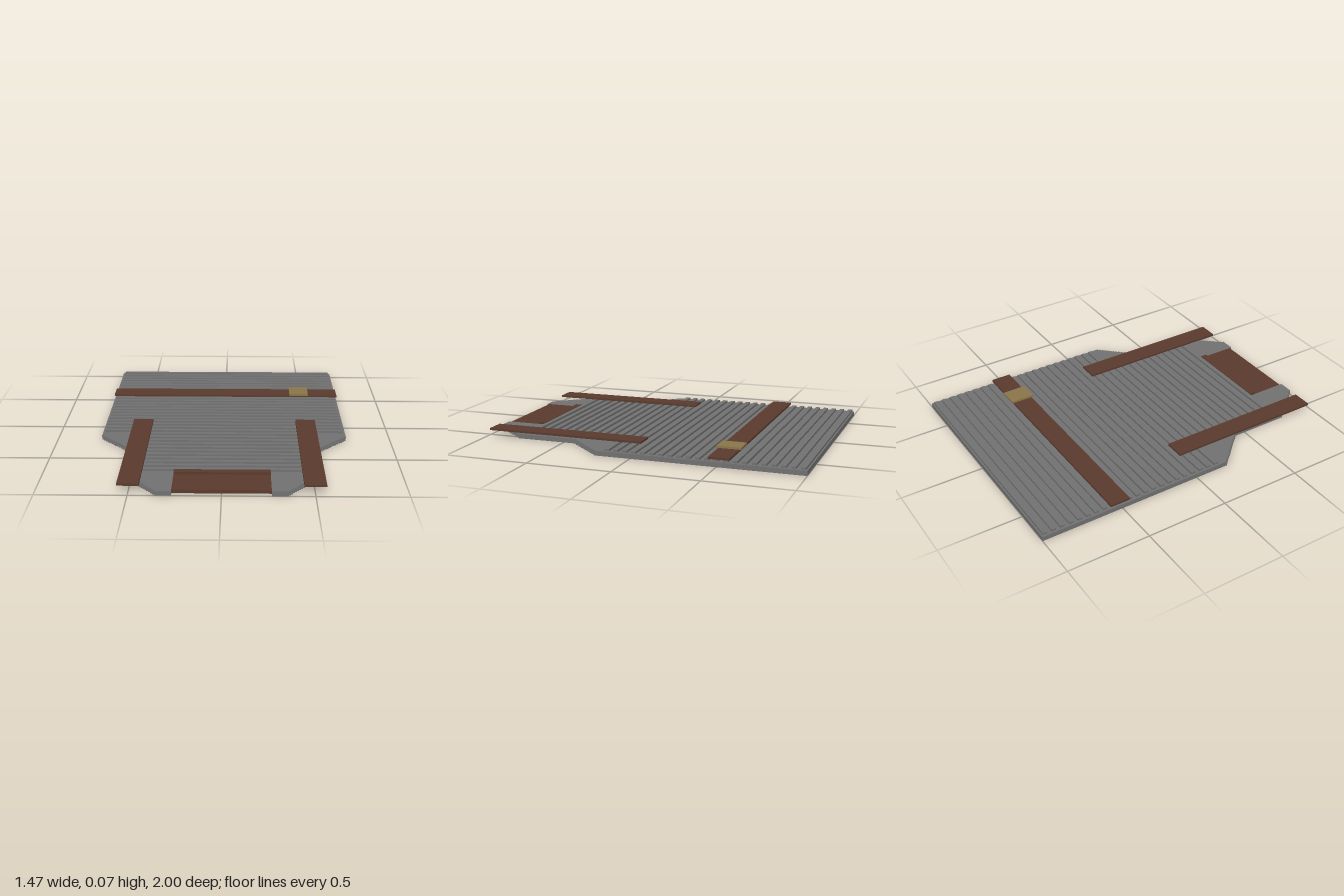
import * as THREE from 'three';

const steel = new THREE.MeshStandardMaterial({ color: 0x727272 });
steel.name = 'steel grey';
const leather = new THREE.MeshStandardMaterial({ color: 0x5a3a2d });
leather.name = 'brown leather';
const brass = new THREE.MeshStandardMaterial({ color: 0x8b7649 });
brass.name = 'dull brass';

// Box given by its limits on each axis
function slab(name, material, [x0, x1], [y0, y1], [z0, z1]) {
  const mesh = new THREE.Mesh(new THREE.BoxGeometry(x1 - x0, y1 - y0, z1 - z0), material);
  mesh.position.set((x0 + x1) / 2, (y0 + y1) / 2, (z0 + z1) / 2);
  mesh.name = name;
  return mesh;
}

// Staircase of points from one corner to another
function stairs(x0, z0, x1, z1, n) {
  const pts = [];
  for (let i = 0; i < n; i++) {
    const z = z0 + (z1 - z0) * (i + 1) / n;
    pts.push([x0 + (x1 - x0) * i / n, z], [x0 + (x1 - x0) * (i + 1) / n, z]);
  }
  return pts;
}

export function createModel() {
  const group = new THREE.Group();
  group.name = 'breastplate';

  // Base plate with stepped shoulders and a notch at the neck
  const half = [
    [0.733, -1], [0.733, 0.2],
    ...stairs(0.733, 0.2, 0.53, 0.42, 16),
    [0.53, 0.78],
    ...stairs(0.53, 0.78, 0.345, 1, 16),
    [0.267, 1], [0.267, 0.745],
  ];
  const outline = [...half, ...half.slice().reverse().map(([x, z]) => [-x, z])];
  const shape = new THREE.Shape(outline.map(([x, z]) => new THREE.Vector2(x, -z)));
  const plateGeo = new THREE.ExtrudeGeometry(shape, { depth: 0.028, bevelEnabled: false });
  plateGeo.rotateX(-Math.PI / 2);
  const plate = new THREE.Mesh(plateGeo, steel);
  plate.name = 'basePlate';
  group.add(plate);

  // Raised ribs, narrower above the arm openings
  const pitch = 0.0533;
  for (let i = 0; i < 33; i++) {
    const z = -0.99 + i * pitch;
    const w = z < 0.17 ? 0.72 : 0.5;
    group.add(slab('rib', steel, [-w, w], [0.027, 0.041], [z, z + 0.027]));
  }

  // Neck panel and its raised rim
  group.add(slab('neckPanel', leather, [-0.267, 0.267], [0.008, 0.028], [0.745, 0.985]));
  group.add(slab('neckRim', leather, [-0.267, 0.267], [0.028, 0.042], [0.745, 0.785]));

  // Shoulder straps
  for (const s of [-1, 1]) {
    const x = s * 0.5;
    group.add(slab(s > 0 ? 'leftStrap' : 'rightStrap', leather,
      [x - 0.06, x + 0.06], [0.043, 0.055], [0, 0.972]));
  }

  // Waist belt and buckle
  group.add(slab('belt', leather, [-0.735, 0.735], [0.043, 0.055], [-0.577, -0.455]));
  group.add(slab('buckle', brass, [0.423, 0.545], [0.056, 0.068], [-0.588, -0.444]));

  return group;
}
